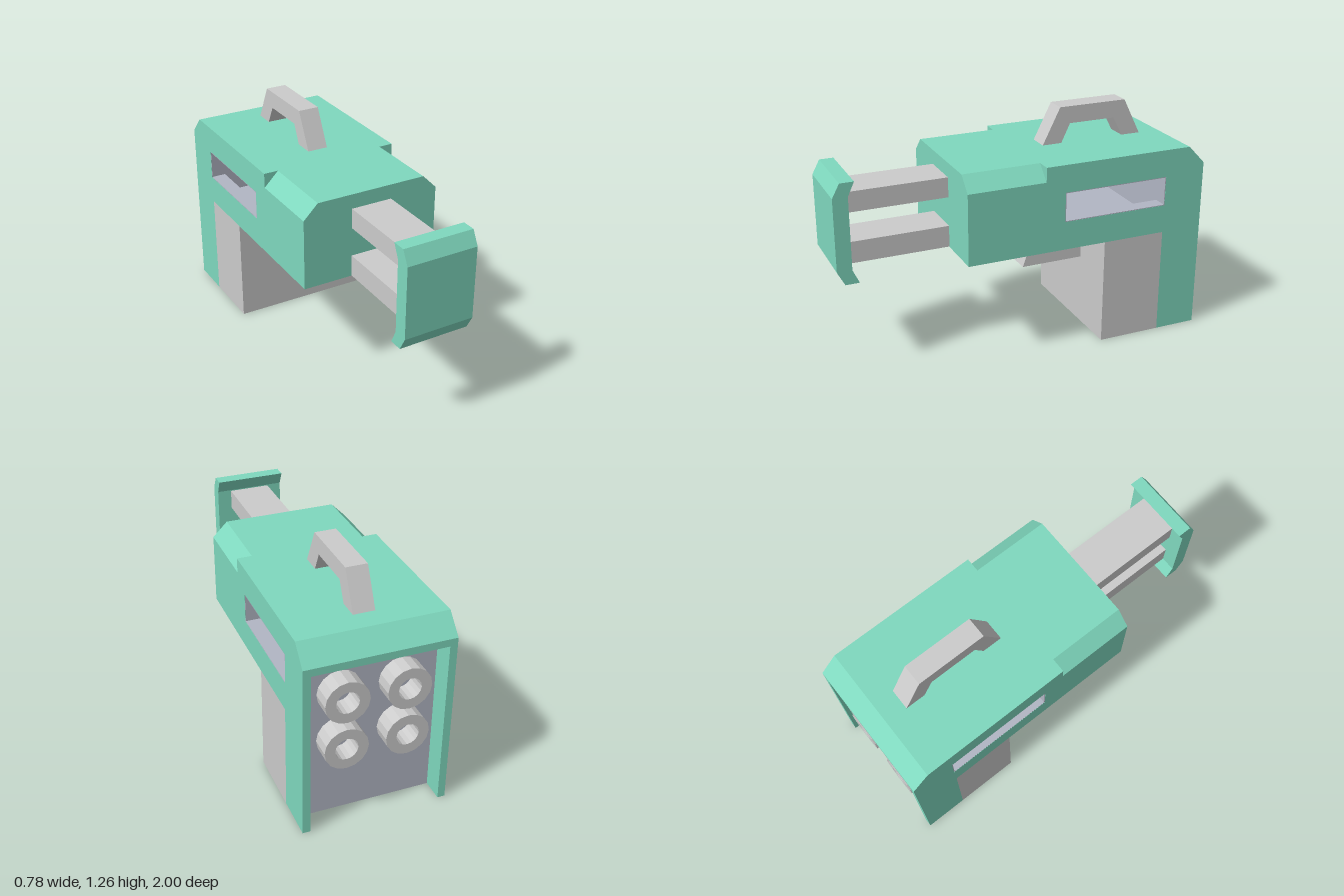
import * as THREE from 'three';

const green = new THREE.MeshStandardMaterial({ color: 0x7fd8be });
const grey = new THREE.MeshStandardMaterial({ color: 0xcccccc });
const slate = new THREE.MeshStandardMaterial({ color: 0xb2b6c4 });

const SLOT = [-0.765, -0.175, 0.75, 0.905]; // z min, z max, y min, y max

const points = (pts) => pts.map(([a, b]) => new THREE.Vector2(a, b));
const rect = ([a0, a1, b0, b1], g = 0) => [
  [a0 - g, b0 - g], [a1 + g, b0 - g], [a1 + g, b1 + g], [a0 - g, b1 + g],
];

export function createModel() {
  const model = new THREE.Group();

  const add = (name, geometry, material) => {
    const mesh = new THREE.Mesh(geometry, material);
    mesh.name = name;
    model.add(mesh);
    return mesh;
  };

  // Box from its limits
  const box = (name, material, x0, x1, y0, y1, z0, z1) =>
    add(name, new THREE.BoxGeometry(x1 - x0, y1 - y0, z1 - z0), material)
      .position.set((x0 + x1) / 2, (y0 + y1) / 2, (z0 + z1) / 2);

  // Side profile of (z, y) points, extruded across x
  const across = (name, material, pts, x0, x1, hole) => {
    const shape = new THREE.Shape(points(pts));
    if (hole) shape.holes.push(new THREE.Path(points(hole)));
    const g = new THREE.ExtrudeGeometry(shape, { depth: x1 - x0, bevelEnabled: false });
    g.rotateY(-Math.PI / 2).translate(x1, 0, 0);
    return add(name, g, material);
  };

  // Front housing with chamfered upper edges
  const front = new THREE.Shape(points([
    [-0.39, 0.59], [0.39, 0.59], [0.39, 0.98], [0.31, 1.06], [-0.31, 1.06], [-0.39, 0.98],
  ]));
  add('frontHousing', new THREE.ExtrudeGeometry(front, { depth: 0.43, bevelEnabled: false })
    .translate(0, 0, -0.06), green);

  // Rear shell: roof, floor and slotted side walls
  across('roof', green, [
    [-0.06, 1.06], [-0.905, 1.06], [-1, 0.96], [-1, 0.92], [-0.92, 1.0], [-0.06, 1.0],
  ], -0.35, 0.35);
  box('floor', green, -0.35, 0.35, 0.59, 0.62, -0.41, -0.06);

  const wall = [
    [-0.06, 1.06], [-0.905, 1.06], [-1, 0.96], [-1, 0],
    [-0.765, 0], [-0.765, 0.59], [-0.06, 0.59],
  ];
  for (const s of [-1, 1]) {
    const span = (a, b) => (s > 0 ? [a, b] : [-b, -a]);
    const side = s > 0 ? 'left' : 'right';
    across(side + 'Wall', green, wall, ...span(0.35, 0.39), rect(SLOT, 0.004));
    across(side + 'Lining', slate, rect([-0.765 - 0.01, -0.06, 0.62, 1.0]), ...span(0.31, 0.35), rect(SLOT));
    across(side + 'SlotFrame', slate, rect(SLOT, 0.004), ...span(0.35, 0.389), rect(SLOT));
  }

  // Inner lining of the hollow
  box('innerFloor', slate, -0.31, 0.31, 0.59, 0.64, -0.765, -0.07);
  box('innerRoof', slate, -0.31, 0.31, 0.98, 1.0, -0.765, -0.07);
  box('innerFront', slate, -0.31, 0.31, 0.62, 1.0, -0.08, -0.06);

  // Lower block and recessed rear panel
  box('lowerBlock', grey, -0.39, 0.39, 0, 0.59, -0.765, -0.41);
  box('rearPanel', slate, -0.35, 0.35, 0, 1.0, -0.88, -0.765);

  // Four hollow nozzles in the rear recess
  const ring = points([[0.06, 0], [0.115, 0], [0.115, 0.11], [0.06, 0.11], [0.06, 0]]);
  let nozzle = new THREE.LatheGeometry(ring, 16).toNonIndexed();
  nozzle.computeVertexNormals();
  nozzle.rotateX(-Math.PI / 2);
  for (const x of [-0.16, 0.16]) {
    for (const y of [0.45, 0.72]) add('nozzle', nozzle, grey).position.set(x, y, -0.88);
  }

  // Twin rods and front bumper plate
  box('lowerRod', grey, -0.115, 0.115, 0.592, 0.71, 0.37, 0.92);
  box('upperRod', grey, -0.115, 0.115, 0.87, 0.98, 0.37, 0.92);
  across('bumperPlate', green, [
    [1, 0.985], [0.96, 1.06], [0.885, 1.06], [0.92, 0.985],
    [0.92, 0.59], [0.885, 0.515], [0.96, 0.515], [1, 0.59],
  ], -0.195, 0.195);

  // Carrying handle
  across('handle', grey, [
    [-0.195, 1.06], [-0.295, 1.26], [-0.685, 1.26], [-0.785, 1.06],
    [-0.675, 1.06], [-0.62, 1.165], [-0.355, 1.165], [-0.305, 1.06],
  ], -0.0575, 0.0575);

  // Bracket under the housing
  across('lowerBracket', grey, [
    [-0.055, 0.395], [-0.09, 0.495], [-0.31, 0.495], [-0.31, 0.59], [-0.41, 0.59], [-0.41, 0.395],
  ], -0.118, 0.118);

  return model;
}
